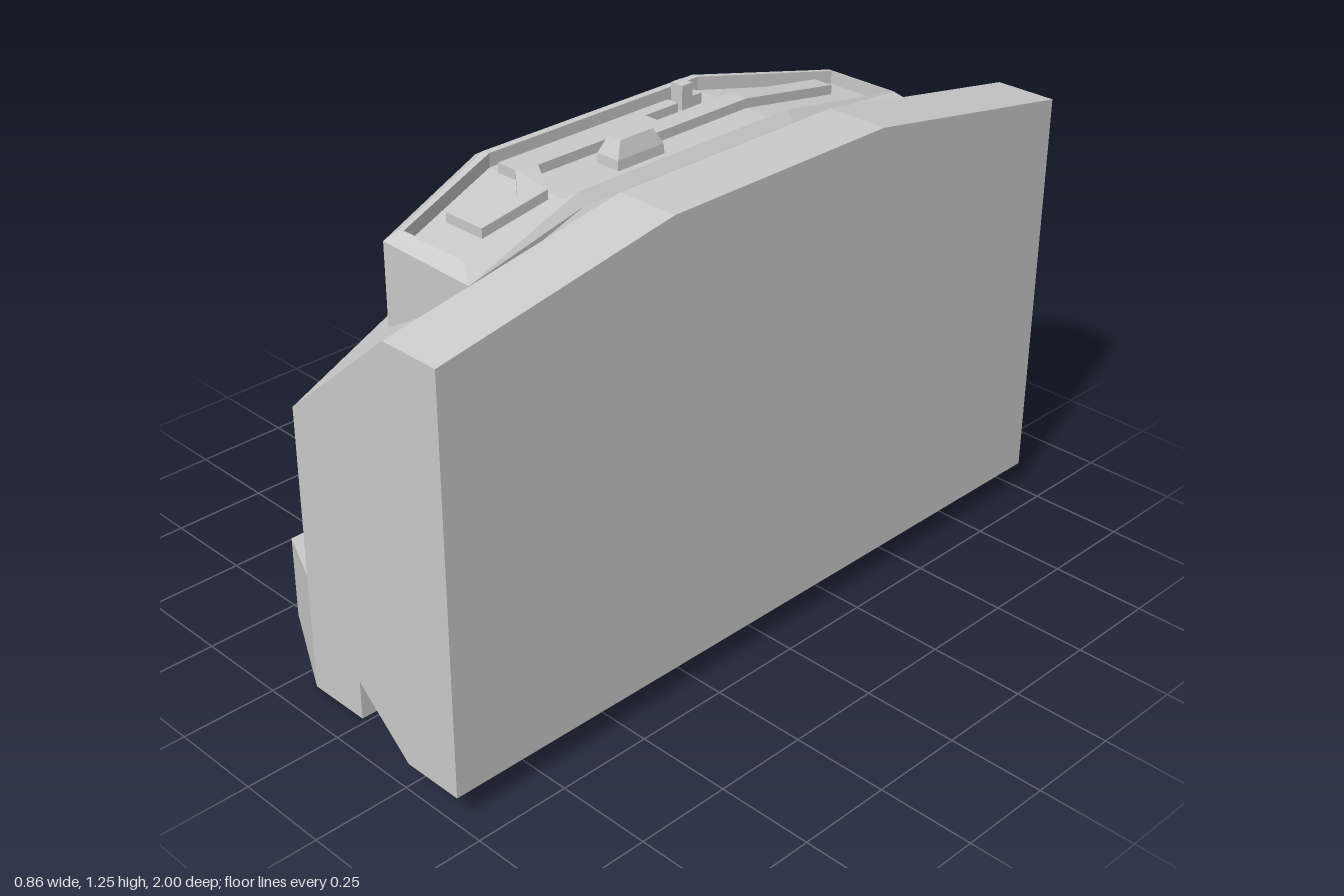
import * as THREE from 'three';

const mat = new THREE.MeshStandardMaterial({ color: 0xcccccc, flatShading: true, side: THREE.DoubleSide });
const smooth = new THREE.MeshStandardMaterial({ color: 0xcccccc });

function mesh(geo, name, parent, material = mat) {
  const m = new THREE.Mesh(geo, material);
  m.name = name;
  parent.add(m);
  return m;
}

// Skin a series of rings (counter-clockwise seen from the last one), with optional caps.
function loft(rings, { closed = true, start = false, end = true } = {}) {
  const pos = [];
  const quad = (a, b, c, d) => pos.push(...a, ...b, ...c, ...a, ...c, ...d);
  const n = rings[0].length;
  for (let r = 0; r < rings.length - 1; r++) {
    const a = rings[r], b = rings[r + 1];
    for (let i = 0; i < (closed ? n : n - 1); i++) {
      const j = (i + 1) % n;
      quad(a[i], a[j], b[j], b[i]);
    }
  }
  const cap = (p) => {
    for (let i = 0; i < n / 2 - 1; i++) quad(p[i], p[i + 1], p[n - 2 - i], p[n - 1 - i]);
  };
  if (start) cap([...rings[0]].reverse());
  if (end) cap(rings[rings.length - 1]);
  const g = new THREE.BufferGeometry();
  g.setAttribute('position', new THREE.Float32BufferAttribute(pos, 3));
  g.computeVertexNormals();
  return g;
}

// Height of the housing roof, which falls away towards both ends
const roof = (z) => 1.21 - 0.164 * Math.max(0, Math.abs(z) - 0.34);

// Eight-point outline of the housing at a given inset
function outline(xMid, xEnd, rMid, rEnd, zBack, zFront, yLeft, yRight = yLeft) {
  const l = (x, z) => [x, yLeft(z), z];
  const r = (x, z) => [x, yRight(z), z];
  return [l(xEnd, zBack), l(xMid, -0.34), l(xMid, 0.34), l(xEnd, zFront),
    r(rEnd, zFront), r(rMid, 0.34), r(rMid, -0.34), r(rEnd, zBack)];
}

function tube(points, name, parent) {
  const curve = new THREE.CatmullRomCurve3(points.map((p) => new THREE.Vector3(...p)));
  return mesh(new THREE.TubeGeometry(curve, 20, 0.032, 10), name, parent, smooth);
}

export function createModel() {
  const root = new THREE.Group();
  root.name = 'wallUnit';

  // Main hull, open where the three recessed panels close it
  const endSection = (z) => [[-0.065, 0.36, z], [0.265, 0.075, z], [0.43, 0.075, z],
    [0.43, 1.135, z], [0.265, 1.135, z], [-0.065, 0.85, z]];
  const midSection = (z) => [[-0.32, 0.315, z], [0.265, 0.075, z], [0.43, 0.075, z],
    [0.43, 1.25, z], [0.265, 1.25, z], [-0.32, 0.9, z]];
  mesh(loft([endSection(-1), midSection(-0.34), midSection(0.34), endSection(1)],
    { closed: false, start: true }), 'hull', root);

  // Central panel with a recess cut off at its lower corners
  const centre = (pts, x) => pts.map(([z, y]) => [x, y, z]);
  const recess = [[-0.14, 0.38], [0.14, 0.38], [0.24, 0.48], [0.24, 0.83], [-0.24, 0.83], [-0.24, 0.48]];
  const border = [[-0.34, 0.315], [0.34, 0.315], [0.34, 0.48], [0.34, 0.9], [-0.34, 0.9], [-0.34, 0.48]];
  mesh(loft([centre(border, -0.32), centre(recess, -0.32), centre(recess, -0.277)]), 'centrePanel', root);

  // Parts that are mirrored at both ends
  for (const s of [1, -1]) {
    const side = new THREE.Group();
    side.name = s > 0 ? 'frontSide' : 'backSide';
    side.scale.z = s;
    root.add(side);

    // Oblique panel with a window-like recess
    const at = (u, y, d = 0) => [-0.32 + 0.255 * u + 0.933 * d, y, 0.34 + 0.66 * u - 0.36 * d];
    const win = (d) => [at(0.157, 0.525, d), at(0.863, 0.55, d), at(0.863, 0.78, d), at(0.157, 0.805, d)];
    mesh(loft([[at(0, 0.315), at(1, 0.36), at(1, 0.85), at(0, 0.9)], win(0), win(0.043)]), 'sidePanel', side);

    // Foot block with a chamfered outer end
    const foot = (x, z0, z1, y0) => [[x, y0, z0], [x, y0, z1], [x, 0.315, z1], [x, 0.315, z0]].reverse();
    mesh(loft([foot(-0.345, 0.705, 0.845, 0.095), foot(-0.19, 0.645, 0.915, 0), foot(-0.015, 0.645, 0.915, 0)],
      { start: true }), 'foot', side);

    // Beam from the foot to the round base
    mesh(new THREE.BoxGeometry(0.17, 0.14, 0.4), 'footBeam', side).position.set(-0.11, 0.19, 0.46);

    // Pipe from the housing down to the rail
    tube([[-0.2, 1.035, 0.355], [-0.3, 1.025, 0.355], [-0.365, 0.98, 0.355], [-0.4, 0.88, 0.355],
      [-0.4, 0.73, 0.355]], 'upperPipe', side);
    // Rail bending down into the foot
    tube([[-0.27, 0.3, 0.78], [-0.285, 0.43, 0.775], [-0.32, 0.55, 0.73], [-0.37, 0.65, 0.6],
      [-0.4, 0.72, 0.4], [-0.402, 0.73, 0.3]], 'lowerPipe', side);
  }
  const rail = mesh(new THREE.CylinderGeometry(0.032, 0.032, 0.64, 10), 'rail', root, smooth);
  rail.rotation.x = Math.PI / 2;
  rail.position.set(-0.402, 0.73, 0);

  // Round base
  const profile = [[0, 0.015], [0.225, 0.015], [0.365, 0.055], [0.365, 0.245], [0.32, 0.26], [0, 0.26]];
  mesh(new THREE.LatheGeometry(profile.map((p) => new THREE.Vector2(...p)), 16), 'roundBase', root)
    .position.set(-0.028, 0, -0.008);

  // Upper housing with a bevelled rim and a sunken top
  mesh(loft([
    outline(-0.215, -0.1, 0.155, 0.185, -0.77, 0.705, () => 0.85),
    outline(-0.215, -0.1, 0.155, 0.185, -0.77, 0.705, (z) => roof(z) - 0.018, (z) => roof(z) - 0.026),
    outline(-0.185, -0.082, 0.133, 0.133, -0.74, 0.675, roof),
    outline(-0.165, -0.07, 0.133, 0.133, -0.735, 0.67, roof),
    outline(-0.165, -0.07, 0.133, 0.133, -0.735, 0.67, (z) => roof(z) - 0.035),
  ]), 'housing', root);

  // Raised track on the housing floor, following the folds of the roof
  const track = [[-0.055, -0.655], [0, -0.655], [0, -0.34], [0, -0.03], [-0.055, -0.03], [-0.055, 0.29],
    [0.055, 0.36], [0.055, 0.555], [-0.065, 0.555], [-0.065, 0.535], [0.02, 0.535], [0.02, 0.42],
    [-0.07, 0.345], [-0.13, 0.345], [-0.13, -0.2], [-0.095, -0.2], [-0.095, -0.09], [-0.055, -0.09], [-0.055, -0.34]];
  const shape = new THREE.Shape(track.map(([x, z]) => new THREE.Vector2(x, -z)));
  const plate = new THREE.ExtrudeGeometry(shape, { depth: 0.035, bevelEnabled: false }).rotateX(-Math.PI / 2);
  const p = plate.attributes.position;
  for (let i = 0; i < p.count; i++) p.setY(i, p.getY(i) + roof(p.getZ(i)) - 0.045);
  plate.computeVertexNormals();
  mesh(plate, 'roofTrack', root);

  // Tapered hatch and small post on the roof
  const rect = (w, d, y) => [[-w, y, -d], [-w, y, d], [w, y, d], [w, y, -d]];
  mesh(loft([rect(0.036, 0.075, 1.17), rect(0.034, 0.073, 1.2), rect(0.02, 0.052, 1.24)]), 'roofHatch', root)
    .position.set(0.022, 0, 0.073);
  mesh(new THREE.BoxGeometry(0.038, 0.07, 0.035), 'roofPost', root).position.set(-0.114, 1.205, -0.232);
  mesh(new THREE.BoxGeometry(0.038, 0.03, 0.04), 'roofPostStep', root).position.set(-0.114, 1.19, -0.262);

  return root;
}
